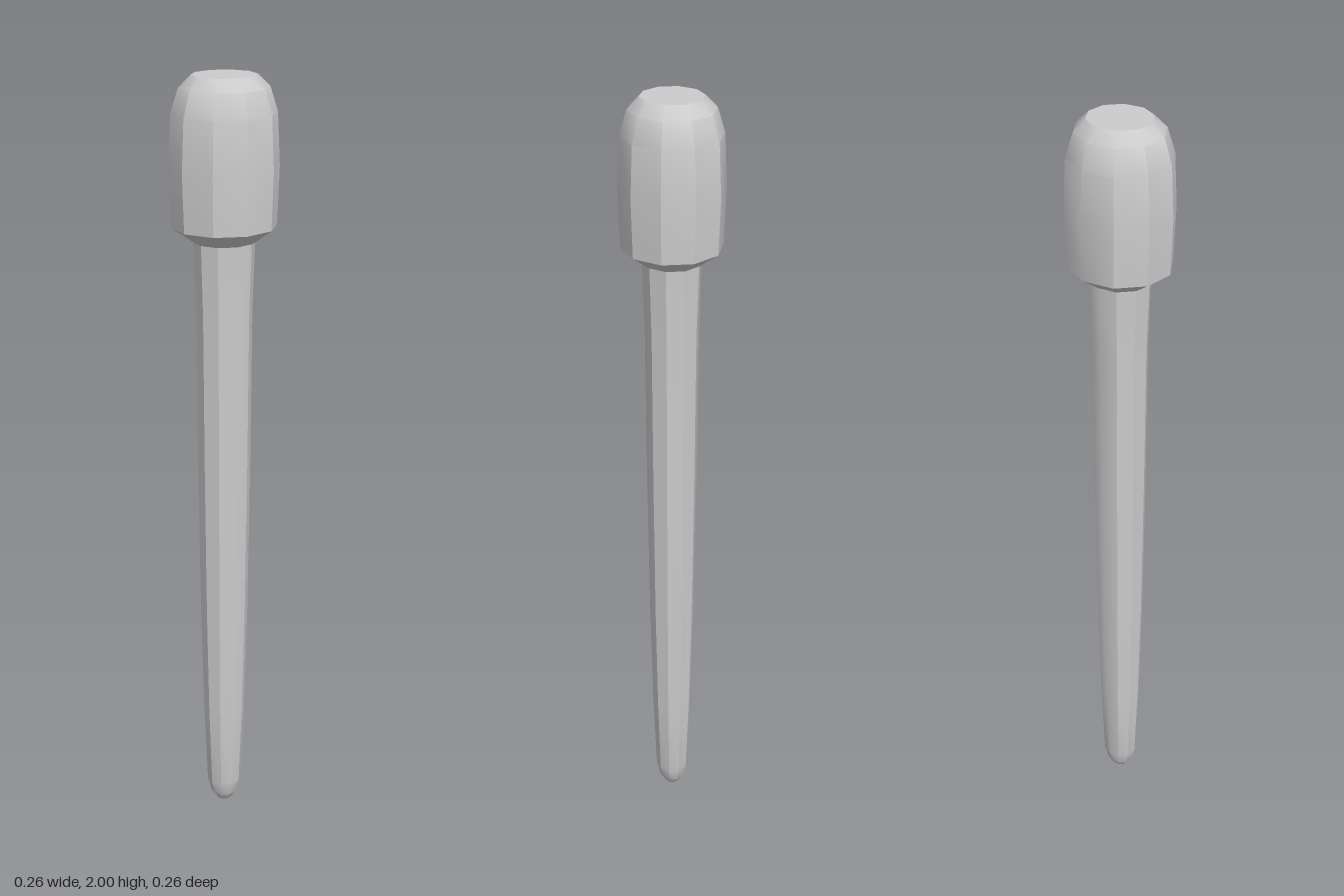
import * as THREE from 'three';
import { toCreasedNormals } from 'three/addons/utils/BufferGeometryUtils.js';

const SIDES = 10;
const CREASE = THREE.MathUtils.degToRad(35);
const X_STRETCH = 1.05; // decagon is widened so it is as wide as it is deep
const material = new THREE.MeshStandardMaterial({ color: 0xcccccc });

// Ten-sided turned part from [radius, height] pairs, bottom to top
function turned(name, profile) {
  const points = profile.map(([r, y]) => new THREE.Vector2(r, y));
  let geometry = new THREE.LatheGeometry(points, SIDES);
  geometry.scale(X_STRETCH, 1, 1);
  // Enlarge while creasing so that close vertices stay distinct
  geometry.scale(100, 100, 100);
  geometry = toCreasedNormals(geometry, CREASE);
  geometry.scale(0.01, 0.01, 0.01);
  const mesh = new THREE.Mesh(geometry, material);
  mesh.name = name;
  return mesh;
}

export function createModel() {
  const group = new THREE.Group();
  group.name = 'pin';

  // Slim tapering shaft with a rounded tip and a slight flare under the head
  group.add(turned('shaft', [
    [0, 0], [0.018, 0.007], [0.034, 0.03], [0.044, 0.07],
    [0.053, 0.3], [0.06, 0.6], [0.065, 1.0], [0.068, 1.42], [0.074, 1.61],
  ]));

  // Barrel-shaped head with a bevelled underside and flat top
  group.add(turned('head', [
    [0, 1.6], [0.075, 1.6], [0.125, 1.637], [0.13, 1.78],
    [0.124, 1.91], [0.106, 1.97], [0.077, 2], [0, 2],
  ]));

  return group;
}
